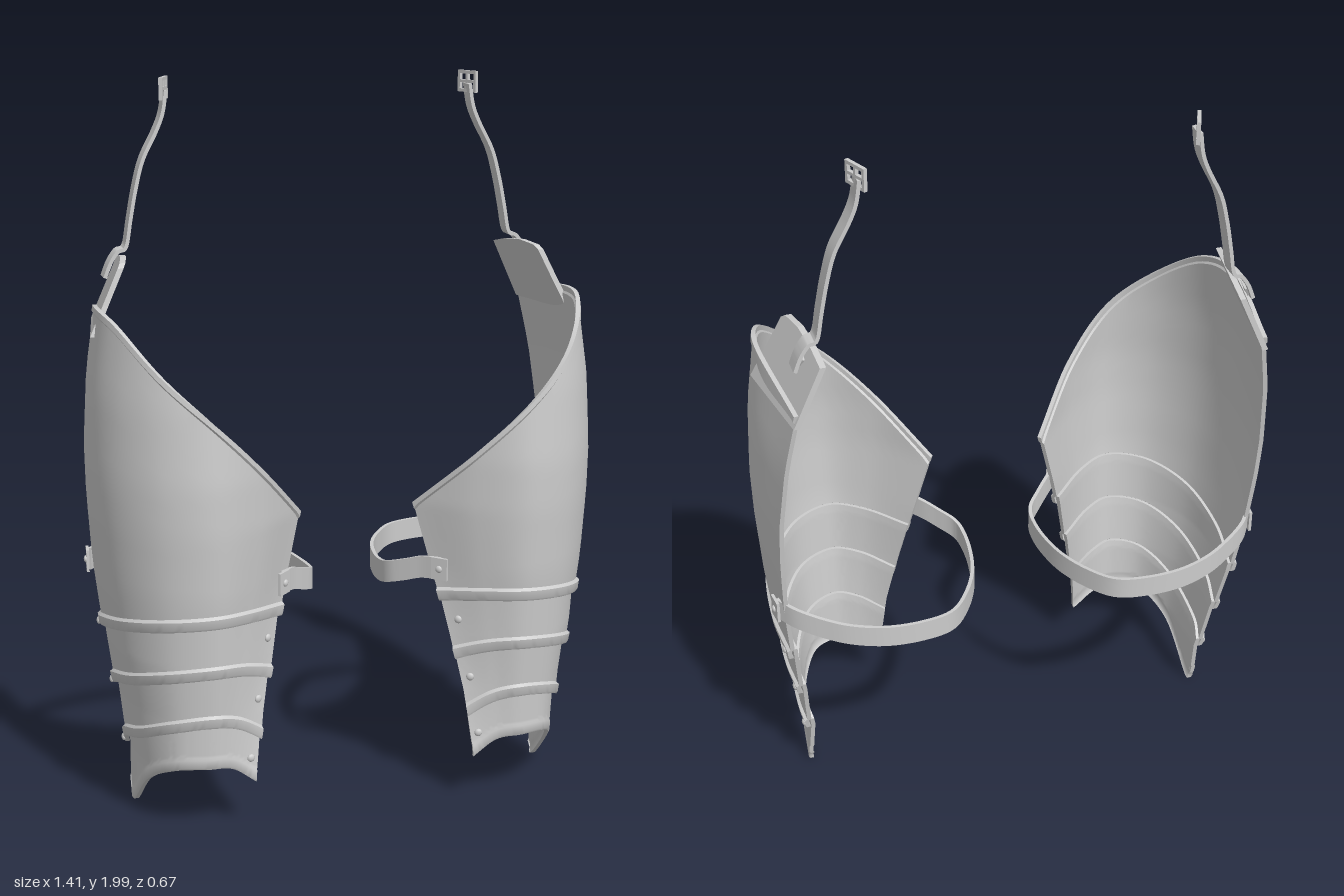
import * as THREE from 'three';
import { toCreasedNormals } from 'three/addons/utils/BufferGeometryUtils.js';

const V = (x, y, z) => new THREE.Vector3(x, y, z);
const lerp = THREE.MathUtils.lerp;
const spline = (pts) => new THREE.CatmullRomCurve3(pts, false, 'catmullrom', 0.5);

// Leg outline by height: y, inner edge x, inner edge z, front z, outer x, back edge z
const OUTLINE = [
  [0.00, 0.320, 0.250, 0.240, 0.600, -0.050],
  [0.17, 0.310, 0.240, 0.250, 0.608, -0.085],
  [0.34, 0.285, 0.225, 0.270, 0.635, -0.125],
  [0.50, 0.250, 0.200, 0.297, 0.665, -0.165],
  [0.69, 0.205, 0.165, 0.322, 0.688, -0.200],
  [0.87, 0.160, 0.140, 0.333, 0.700, -0.230],
  [1.00, 0.160, 0.140, 0.333, 0.703, -0.250],
  [1.20, 0.160, 0.140, 0.315, 0.693, -0.285],
  [1.42, 0.160, 0.140, 0.280, 0.662, -0.320],
];

// Horizontal section at height y, from inner edge round the front to the back edge
function section(y) {
  let k = 0;
  while (k < OUTLINE.length - 2 && y > OUTLINE[k + 1][0]) k++;
  const a = OUTLINE[k], b = OUTLINE[k + 1];
  const t = (y - a[0]) / (b[0] - a[0]);
  const [, xi, zi, zf, xo, zb] = a.map((n, i) => lerp(n, b[i], t));
  const xf = lerp(0.455, 0.43, Math.min(1, Math.max(0, y / 0.8)));
  const zc = -0.03, rx = xo - xf, rz = zf - zc;
  const arc = (deg) => V(xf + rx * Math.sin(deg * Math.PI / 180), y, zc + rz * Math.cos(deg * Math.PI / 180));
  return spline([
    V(xi, y, zi), V(lerp(xi, xf, 0.5), y, lerp(zi, zf, 0.67)),
    arc(0), arc(30), arc(60), arc(90),
    V(xo - 0.5 * (zb - zc) ** 2, y, zb),
  ]);
}

// Point and outward direction on the leg surface
function surface(u, y, offset = 0) {
  const c = section(y);
  const p = c.getPoint(u);
  const t = c.getPoint(Math.min(1, u + 0.01)).sub(c.getPoint(Math.max(0, u - 0.01)));
  const n = V(-t.z, 0, t.x).normalize();
  return { p: p.addScaledVector(n, offset), n };
}

// Solid skin over a row of closed loops, with both ends capped
function skin(rows, crease = 0.6) {
  const n = rows[0].length;
  const cap = (r) => r.map((p, j) => p.clone().lerp(r[n - 1 - j], 0.5));
  const all = [cap(rows[0]), ...rows, cap(rows[rows.length - 1])];
  const pos = [], idx = [];
  all.forEach((r) => r.forEach((p) => pos.push(p.x, p.y, p.z)));
  for (let i = 0; i < all.length - 1; i++) {
    for (let j = 0; j < n; j++) {
      const k = (j + 1) % n;
      const a = i * n + j, b = i * n + k, c = b + n, d = a + n;
      idx.push(a, b, c, a, c, d);
    }
  }
  const g = new THREE.BufferGeometry();
  g.setAttribute('position', new THREE.Float32BufferAttribute(pos, 3));
  g.setIndex(idx);
  return toCreasedNormals(g, crease);
}

// Curved plate between two edge lines (heights at the seven section points)
function plate(topY, bottomY, topOffset, rim, ridge) {
  const edge = (ys) => spline(ys.map((y) => V(0, y, 0)));
  const top = edge(topY), bottom = edge(bottomY);
  const rows = [], N = 60, steps = 14, thick = 0.012;
  for (let i = 0; i <= N; i++) {
    const u = i / N, t = top.getPoint(u).y, b = bottom.getPoint(u).y;
    const prof = [[t, topOffset + rim], [t - 0.016, topOffset + rim]];
    for (let s = 0; s <= steps; s++) {
      prof.push([lerp(t - 0.022, b + 0.036, s / steps), lerp(topOffset, 0, s / steps)]);
    }
    prof.push([b + 0.029, ridge], [b + 0.006, ridge], [b, ridge - 0.003]);
    const outer = prof.map(([y, o]) => surface(u, y, o).p);
    const inner = prof.map(([y, o]) => surface(u, y, o - thick).p).reverse();
    rows.push([...outer, ...inner]);
  }
  return skin(rows);
}

// Flat band swept along a path, its width along a fixed axis
function band(pts, axis, width, thick, steps = 60) {
  const c = spline(pts), rows = [];
  for (let i = 0; i <= steps; i++) {
    const p = c.getPoint(i / steps), n = c.getTangent(i / steps).cross(axis).normalize();
    rows.push([[1, 1], [1, -1], [-1, -1], [-1, 1]].map(([a, b]) =>
      p.clone().addScaledVector(n, a * thick / 2).addScaledVector(axis, b * width / 2)));
  }
  return skin(rows);
}

// Turn a part's +z towards n and move it to p
function place(geo, p, n) {
  const q = new THREE.Quaternion().setFromUnitVectors(V(0, 0, 1), n);
  return geo.applyQuaternion(q).translate(p.x, p.y, p.z);
}
const rivet = (p, n, r = 0.011) =>
  place(new THREE.SphereGeometry(r, 12, 8).scale(1, 1, 0.6), p, n);

// Mirror across x, keeping the faces outward
function mirrored(geo) {
  const g = geo.index ? geo.toNonIndexed() : geo.clone();
  g.scale(-1, 1, 1);
  for (const name of ['position', 'normal']) {
    const a = g.attributes[name];
    for (let i = 0; i < a.count; i += 3) {
      const p = V().fromBufferAttribute(a, i + 1), q = V().fromBufferAttribute(a, i + 2);
      a.setXYZ(i + 1, q.x, q.y, q.z);
      a.setXYZ(i + 2, p.x, p.y, p.z);
    }
  }
  return g;
}

function buildParts() {
  const parts = [];
  const add = (name, geo) => parts.push([name, geo]);

  // Thigh plate and the three overlapping lames below it
  const edges = [
    [0.87, 1.03, 1.17, 1.29, 1.39, 1.415, 1.375],
    [0.595, 0.612, 0.618, 0.605, 0.575, 0.535, 0.495],
    [0.43, 0.462, 0.472, 0.455, 0.415, 0.37, 0.33],
    [0.265, 0.31, 0.325, 0.305, 0.255, 0.205, 0.165],
    [0.145, 0.192, 0.2, 0.19, 0.13, 0.012, 0.04],
  ];
  add('thighPlate', plate(edges[0], edges[1], 0, 0.005, 0.009));
  for (let k = 1; k < 4; k++) {
    const tucked = edges[k].map((y) => y + 0.035);
    add('lame' + k, plate(tucked, edges[k + 1], -0.008, 0, k < 3 ? 0.009 : 0.003));
    for (const [u, i] of [[0.05, 0], [0.965, 6]]) {
      const { p, n } = surface(u, edges[k][i] + (i ? 0.018 : -0.05), i ? 0.009 : 0.0);
      add('lameRivet', rivet(p, n));
    }
  }

  // Hip tab leaning inward above the plate
  const tabX = (y, z) => 0.655 - 0.45 * (y - 1.4) + 0.17 * (z + 0.05);
  const outline = new THREE.Shape([
    [0.03, 1.34], [0.045, 1.42], [0.06, 1.515], [0.075, 1.527], [0.15, 1.532],
    [0.24, 1.522], [0.318, 1.505], [0.318, 1.34],
  ].map(([a, b]) => new THREE.Vector2(a, b)));
  const tab = new THREE.ExtrudeGeometry(outline, { depth: 0.016, bevelEnabled: false });
  tab.rotateY(Math.PI / 2);
  const tp = tab.attributes.position;
  for (let i = 0; i < tp.count; i++) {
    tp.setX(i, tp.getX(i) - 0.016 + tabX(tp.getY(i), tp.getZ(i)));
  }
  tab.computeVertexNormals();
  add('hipTab', tab);

  // Hanging strap with its rivet plate and buckle
  add('hangingStrap', band([
    V(0.612, 1.465, -0.232), V(0.596, 1.505, -0.232), V(0.575, 1.535, -0.232), V(0.552, 1.548, -0.232),
    V(0.538, 1.62, -0.233), V(0.522, 1.7, -0.235), V(0.5, 1.78, -0.237), V(0.462, 1.855, -0.239),
    V(0.442, 1.905, -0.24), V(0.432, 1.965, -0.241),
  ], V(0, 0, 1), 0.05, 0.01));
  const lean = V(1, 0.45, -0.17).normalize();
  const seat = V(tabX(1.49, -0.232) + 0.012, 1.49, -0.232);
  add('strapPlate', place(new THREE.BoxGeometry(0.036, 0.036, 0.006), seat, lean));
  add('strapRivet', rivet(seat.clone().addScaledVector(lean, 0.004), lean));

  const frame = new THREE.Shape([[-0.037, -0.03], [0.037, -0.03], [0.037, 0.03], [-0.037, 0.03]]
    .map(([a, b]) => new THREE.Vector2(a, b)));
  for (const [x0, x1] of [[-0.028, -0.004], [0.004, 0.028]]) {
    for (const [y0, y1] of [[-0.021, -0.004], [0.004, 0.021]]) {
      frame.holes.push(new THREE.Path([[x0, y0], [x0, y1], [x1, y1], [x1, y0]]
        .map(([a, b]) => new THREE.Vector2(a, b))));
    }
  }
  const buckle = new THREE.ExtrudeGeometry(frame, { depth: 0.01, bevelEnabled: false });
  add('buckle', buckle.translate(0, 0, -0.005).rotateY(Math.PI / 2 + 0.4).translate(0.434, 1.97, -0.243));

  // Leg belt looping behind the thigh, held by a riveted plate at each end
  const a = surface(0.035, 0.69, 0.009), b = surface(0.97, 0.685, 0.009);
  add('legBelt', band([
    a.p.clone(), V(0.185, 0.685, 0.15), V(0.15, 0.67, 0.115), V(0.115, 0.655, 0.075), V(0.104, 0.645, 0.03),
    V(0.108, 0.64, -0.05), V(0.13, 0.64, -0.15), V(0.175, 0.64, -0.24), V(0.235, 0.642, -0.31),
    V(0.32, 0.645, -0.334), V(0.42, 0.648, -0.332), V(0.51, 0.655, -0.307), V(0.58, 0.665, -0.27),
    V(0.645, 0.68, -0.225), b.p.clone(),
  ], V(0, 1, 0), 0.062, 0.01, 90));
  for (const { p, n } of [a, b]) {
    add('beltPlate', place(new THREE.BoxGeometry(0.048, 0.062, 0.008), p.clone().addScaledVector(n, 0.005), n));
    add('beltRivet', rivet(p.clone().addScaledVector(n, 0.01), n, 0.01));
  }
  return parts;
}

export function createModel() {
  const steel = new THREE.MeshStandardMaterial({ color: 0xcccccc, side: THREE.DoubleSide });
  steel.name = 'steel';
  const model = new THREE.Group();
  model.name = 'thighArmour';
  const parts = buildParts();
  for (const side of ['left', 'right']) {
    const leg = new THREE.Group();
    leg.name = side + 'Leg';
    for (const [name, geo] of parts) {
      const mesh = new THREE.Mesh(side === 'left' ? geo : mirrored(geo), steel);
      mesh.name = name;
      leg.add(mesh);
    }
    model.add(leg);
  }
  return model;
}
